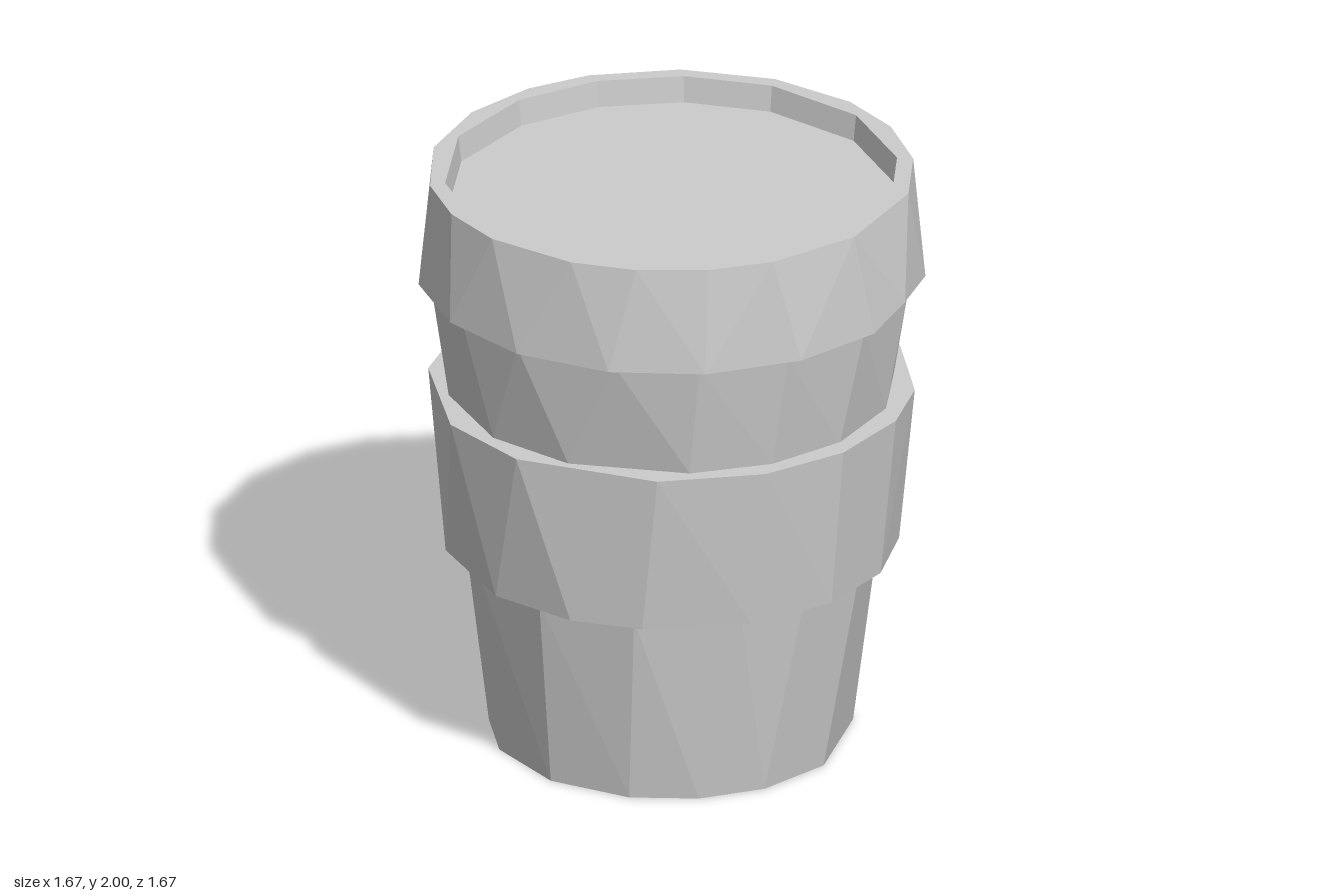
import * as THREE from 'three';

const material = new THREE.MeshStandardMaterial({ color: 0xcccccc, flatShading: true });

// Uneven corner angles in degrees, turning from the front (+z) towards +x
const CUP_A = [-90, -62, -39, -10, 18, 40, 62, 88, 125, 148, 170, 198, 222, 246];
const CUP_B = [-90, -64, -38, -8, 21, 51, 71, 96, 124, 148, 172, 198, 222, 246];
const CUP_C = [-76, -50, -21, 4, 36, 58, 80, 104, 128, 150, 174, 204, 232, 258];
const CUP_D = [-92, -71, -49, -28, -8, 18, 38, 60, 84, 108, 128, 150, 172, 196, 220, 244];
const SLEEVE_A = [-72, -50, -19, 5, 24, 52, 76, 98, 120, 148, 172, 196, 222, 250, 268];
const SLEEVE_B = [-88, -66, -33, -8, 28, 54, 76, 98, 116, 142, 166, 190, 214, 242];
const LID_A = [-90, -73, -51, -29, -6, 17, 39, 62, 84, 98, 118, 134, 151, 168, 185, 208, 230, 253];
const LID_B = [-94, -72, -50, -33, -16, 7, 23, 40, 56, 80, 108, 128, 147, 164, 186, 209, 231, 247];
const LID_C = [-80, -51, -29, -6, 22, 56, 85, 107, 129, 157, 185, 208, 230, 253];

// One polygonal ring of corners
function ring(r, y, angles) {
  return angles.map((deg) => {
    const a = THREE.MathUtils.degToRad(deg);
    return { deg, p: new THREE.Vector3(r * Math.sin(a), y, r * Math.cos(a)) };
  });
}
const centre = (y) => ring(0, y, [-90]);

// Zip two rings with different corner counts together with triangles
function zip(a, b, out) {
  const at = (r, i) => r[i % r.length].p;
  const deg = (r, i) => r[i % r.length].deg + 360 * Math.floor(i / r.length);
  const na = a.length > 1 ? a.length : 0;
  const nb = b.length > 1 ? b.length : 0;
  let i = 0, j = 0;
  while (i < na || j < nb) {
    const stepA = j >= nb || (i < na &&
      deg(a, i) + deg(a, i + 1) <= deg(b, j) + deg(b, j + 1));
    const tri = stepA
      ? [at(a, i), at(a, i + 1), at(b, j)]
      : [at(a, i), at(b, j + 1), at(b, j)];
    tri.forEach((p) => out.push(p.x, p.y, p.z));
    if (stepA) i++; else j++;
  }
}

// Skin a chain of rings, ordered from the underside outwards and up
function skin(name, rings) {
  const out = [];
  for (let k = 0; k + 1 < rings.length; k++) zip(rings[k], rings[k + 1], out);
  const geometry = new THREE.BufferGeometry();
  geometry.setAttribute('position', new THREE.Float32BufferAttribute(out, 3));
  geometry.computeVertexNormals();
  const mesh = new THREE.Mesh(geometry, material);
  mesh.name = name;
  return mesh;
}

export function createModel() {
  const group = new THREE.Group();
  group.name = 'takeawayCup';

  // Tapered cup with a recessed base
  group.add(skin('cup', [
    centre(0.06), ring(0.56, 0.06, CUP_A), ring(0.56, 0, CUP_A), ring(0.6, 0, CUP_A),
    ring(0.685, 0.68, CUP_B), ring(0.74, 1.24, CUP_C), ring(0.8, 1.64, CUP_D),
  ]));

  // Sleeve around the middle, with flat edges above and below
  group.add(skin('sleeve', [
    ring(0.67, 0.68, CUP_B), ring(0.75, 0.68, SLEEVE_A),
    ring(0.805, 1.24, SLEEVE_B), ring(0.72, 1.24, CUP_C),
  ]));

  // Lid with a slightly lifted corner at its lower edge and a sunken top
  const lowerEdge = ring(0.838, 1.64, LID_A);
  lowerEdge[LID_A.indexOf(98)].p.y = 1.675;
  group.add(skin('lid', [
    ring(0.78, 1.64, CUP_D), lowerEdge, ring(0.802, 2, LID_B),
    ring(0.75, 2, LID_C), ring(0.74, 1.91, LID_C), centre(1.91),
  ]));

  return group;
}
